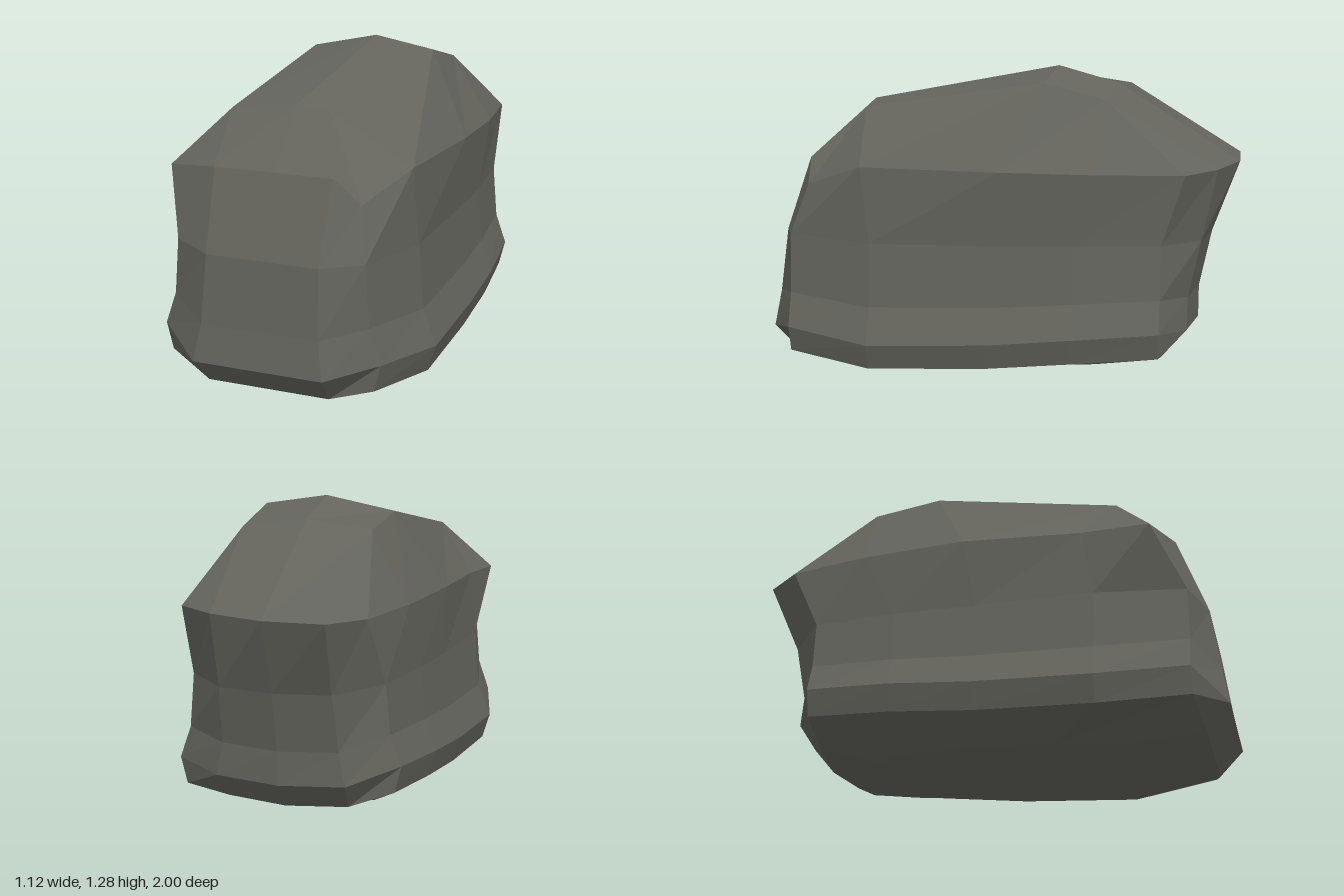
import * as THREE from 'three';

// Half outline at the widest level, front centre to back centre: x, z, y offset
const OUTLINE = [
  [0, 1, -0.015], [0.28, 1, -0.015], [0.47, 0.87, 0.035], [0.56, 0.5, 0], [0.54, 0, 0.025],
  [0.52, -0.35, 0.06], [0.47, -0.71, 0.09], [0.27, -0.8, 0.06], [0, -0.84, 0.05],
];

// Wall levels: height, width scale, front z, back z, strength of the y offset
const LEVELS = [
  [0.04, 0.94, 0.9, -0.75, 1],
  [0.15, 1, 1, -0.84, 1],
  [0.3, 0.9, 0.975, -0.84, 0.8],
  [0.57, 0.86, 0.94, -0.89, 0.3],
];

// Uneven rim where the walls meet the crown, anticlockwise from front centre
const RIM = [
  [0, 0.89, 0.82], [0.255, 0.89, 0.82], [0.36, 0.79, 0.8], [0.47, 0.89, 0.54], [0.485, 0.89, -0.05],
  [0.465, 0.89, -0.44], [0.41, 0.89, -0.8], [0.24, 0.89, -0.92], [0, 0.89, -1],
  [-0.25, 0.89, -0.99], [-0.37, 0.89, -0.84], [-0.44, 0.89, -0.5], [-0.48, 0.89, -0.05],
  [-0.47, 0.87, 0.45], [-0.5, 0.86, 0.74], [-0.26, 0.89, 0.82],
];

// Crown rows, left to right
const FRONT = [[-0.3, 1.08, 0.58], [0, 1.12, 0.6], [0.145, 1.1, 0.6]];
const MIDDLE = [[-0.29, 1.22, -0.21], [0, 1.28, -0.22], [0.275, 1.235, -0.2]];
const REAR = [[-0.285, 1.18, -0.5], [0, 1.21, -0.48], [0.28, 1.17, -0.46]];

function wallRing([y, width, front, back, lift]) {
  const point = (i, side) => {
    const [x, z, dy] = OUTLINE[i];
    const pz = i < 2 ? front : i === 8 ? back : i === 7 ? back + 0.03 : z;
    const tilt = side < 0 && i > 1 && i < 7 ? 0.045 : 0;
    return [side * x * width, y + (dy + tilt) * lift, pz];
  };
  const ring = [];
  for (let i = 0; i <= 8; i++) ring.push(point(i, 1));
  for (let i = 7; i >= 1; i--) ring.push(point(i, -1));
  return ring;
}

function rockGeometry() {
  const positions = [];
  const same = (a, b) => a.every((v, i) => v === b[i]);
  const tri = (a, b, c) => {
    if (!same(a, b) && !same(b, c) && !same(a, c)) positions.push(...a, ...b, ...c);
  };
  const quad = (a, b, c, d) => { tri(a, b, c); tri(a, c, d); };

  // Underside ring, shallow and rising towards the back
  const walls = LEVELS.map(wallRing);
  const base = walls[0].map(([x, , z]) => {
    const pz = z * 0.6;
    return [x * 0.62, Math.max(0, 0.54 - pz) * 0.04, pz];
  });

  // The crown edge shares points between neighbouring columns
  const [f, m, r] = [FRONT, MIDDLE, REAR];
  const crown = [f[1], f[2], f[2], f[2], m[2], r[2], r[2], r[2], r[1],
    r[0], r[0], r[0], m[0], f[0], f[0], f[0]];

  // Walls and sloping shoulders
  const rings = [base, ...walls, RIM, crown];
  for (let k = 0; k < rings.length - 1; k++) {
    for (let i = 0; i < 16; i++) {
      const j = (i + 1) % 16;
      quad(rings[k][i], rings[k][j], rings[k + 1][j], rings[k + 1][i]);
    }
  }

  // Crown panels
  for (const [near, far] of [[f, m], [m, r]]) {
    for (let i = 0; i < 2; i++) quad(near[i], near[i + 1], far[i + 1], far[i]);
  }

  // Underside
  for (let i = 0; i < 16; i++) tri([0, 0.02, 0], base[(i + 1) % 16], base[i]);

  const geometry = new THREE.BufferGeometry();
  geometry.setAttribute('position', new THREE.Float32BufferAttribute(positions, 3));
  geometry.computeVertexNormals();
  return geometry;
}

export function createModel() {
  const stone = new THREE.MeshStandardMaterial({ color: 0x64645d, flatShading: true });
  stone.name = 'grey stone';
  const rock = new THREE.Mesh(rockGeometry(), stone);
  rock.name = 'boulder';
  const model = new THREE.Group();
  model.name = 'rock';
  model.add(rock);
  return model;
}
